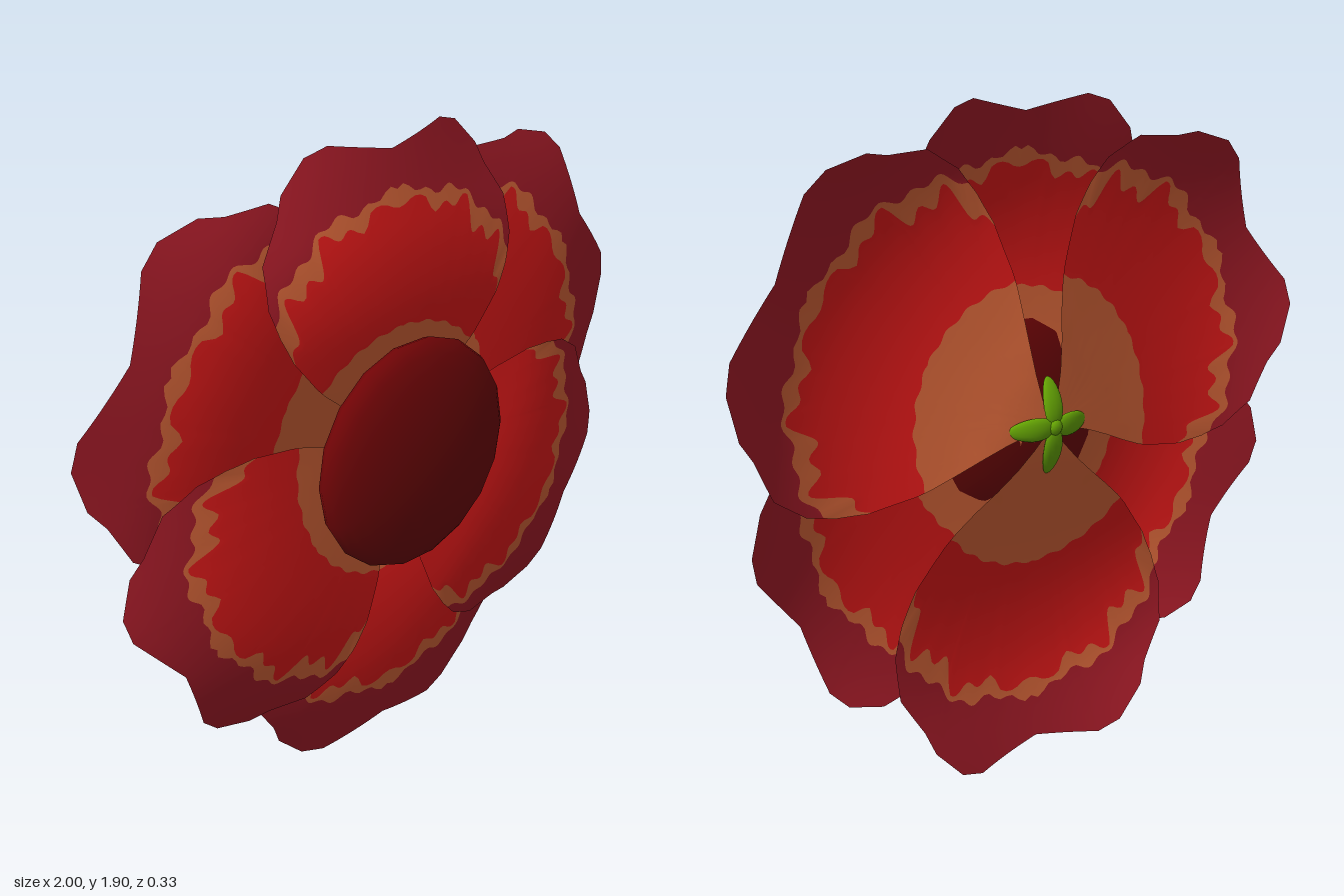
import * as THREE from 'three';

const mat = (name, color, side = THREE.FrontSide) => {
  const m = new THREE.MeshStandardMaterial({ color, side });
  m.name = name;
  return m;
};

// Right half of the petal rim, from the lower side up to the notch at the tip
const RIM = [[0.27, 0.24], [0.3, 0.27], [0.38, 0.37], [0.42, 0.45], [0.445, 0.53], [0.44, 0.64],
  [0.375, 0.74], [0.35, 0.8], [0.27, 0.88], [0.2, 0.9], [0, 0.86]];

// Depth along the petal: [distance from the centre, z]
const FRONT_PROFILE = [[0, -0.04], [0.2, 0], [0.3, 0.015], [0.45, 0.03], [0.6, 0.025], [0.75, 0], [0.9, -0.028]];
const BACK_PROFILE = [[0, -0.135], [0.12, -0.116], [0.22, -0.086], [0.4, -0.045], [0.55, -0.029],
  [0.7, -0.036], [0.9, -0.078]];

function profileCurve(points) {
  const spline = new THREE.SplineCurve(points.map(([r, z]) => new THREE.Vector2(r, z)));
  const samples = spline.getPoints(120);
  return (r) => {
    const i = Math.max(1, samples.findIndex((p) => p.x >= r));
    const a = samples[i - 1], b = samples[i];
    return a.y + (b.y - a.y) * THREE.MathUtils.clamp((r - a.x) / (b.x - a.x), 0, 1);
  };
}

// Fan of columns from the base to the rim, cut into colour bands as material groups
function petalGeometry(profile, scale) {
  const depth = profileCurve(profile);
  const full = [...RIM.map(([x, y]) => [-x, y]), ...RIM.slice(0, -1).reverse()];
  const rim = [];
  const SUB = 8;
  for (let i = 0; i < full.length - 1; i++) {
    for (let k = 0; k < SUB; k++) {
      const t = k / SUB;
      rim.push([0, 1].map((j) => full[i][j] * (1 - t) + full[i + 1][j] * t));
    }
  }
  rim.push(full[full.length - 1]);

  const bandRows = [5, 7, 1, 4];
  const rows = bandRows.reduce((a, b) => a + b) + 1;
  const pos = [], index = [];
  for (const [px, py] of rim) {
    const R = Math.hypot(px, py);
    const a = Math.abs(Math.atan2(px, py));
    const u = a / 0.73;
    // Ragged limits of the base patch, the main field and the thin strip
    const strip = 0.745 - 0.1 * u ** 3 + 0.011 * Math.sin(21 * a + 1) + 0.009 * Math.sin(53 * a);
    const thick = 0.032 + 0.035 * u * u + 0.018 * Math.sin(25 * a + 2) + 0.016 * Math.sin(47 * a);
    const field = strip - Math.max(0.013, thick);
    const base = 0.375 + 0.004 * Math.sin(31 * a);
    const cuts = [0.015, base, field, strip, R].map((v) => Math.min(v, R));
    const radii = [cuts[0]];
    bandRows.forEach((n, b) => {
      for (let k = 1; k <= n; k++) radii.push(cuts[b] + (cuts[b + 1] - cuts[b]) * k / n);
    });
    for (const rad of radii) {
      const narrow = 0.75 + 0.25 * THREE.MathUtils.smoothstep(rad, 0, 0.35);
      const x = px / R * rad * narrow, y = py / R * rad;
      // Sides curl back, more so towards the tip
      pos.push(x * scale, y * scale, depth(y) - 0.62 * (x * y) ** 2);
    }
  }

  const g = new THREE.BufferGeometry();
  let row = 0;
  bandRows.forEach((n, b) => {
    const start = index.length;
    for (let k = 0; k < n; k++, row++) {
      for (let c = 0; c < rim.length - 1; c++) {
        const p = c * rows + row, q = p + rows;
        index.push(p, q, q + 1, p, q + 1, p + 1);
      }
    }
    g.addGroup(start, index.length - start, b);
  });
  g.setAttribute('position', new THREE.Float32BufferAttribute(pos, 3));
  g.setIndex(index);
  g.computeVertexNormals();
  return g;
}

// Small leaf growing along +y and bending forward
function sepalGeometry() {
  const g = new THREE.SphereGeometry(1, 12, 14);
  const p = g.attributes.position;
  for (let i = 0; i < p.count; i++) {
    const t = (p.getY(i) + 1) / 2, y = t * 0.14;
    const taper = 1.1 - 0.25 * t;
    p.setXYZ(i, p.getX(i) * 0.034 * taper, y, p.getZ(i) * 0.012 * taper + 1.7 * y * y);
  }
  g.computeVertexNormals();
  return g;
}

export function createModel() {
  const red = mat('petalRed', 0xe41a1a, THREE.DoubleSide);
  const crimson = mat('petalCrimson', 0xa81c29, THREE.DoubleSide);
  const orange = mat('petalOrange', 0xda673a, THREE.DoubleSide);
  const maroon = mat('centreMaroon', 0x700406);
  const green = mat('sepalGreen', 0x6aac04);

  const flower = new THREE.Group();
  flower.name = 'flower';
  const add = (name, geometry, material, z = 0, turn = 0) => {
    const m = new THREE.Mesh(geometry, material);
    m.name = name;
    m.position.set(0, 1, z);
    m.rotation.z = turn;
    flower.add(m);
  };

  // Two rings of three petals; the two lower front ones are a little larger
  const bands = [orange, red, orange, crimson];
  const lowerFront = petalGeometry(FRONT_PROFILE, 1.025);
  const backPetal = petalGeometry(BACK_PROFILE, 1.112);
  const third = Math.PI * 2 / 3;
  add('topFrontPetal', petalGeometry(FRONT_PROFILE, 1), bands);
  for (const side of [-1, 1]) add('lowerFrontPetal', lowerFront, bands, 0, side * third);
  for (let i = 0; i < 3; i++) add('backPetal', backPetal, bands, 0, Math.PI + i * third);

  // Domed centre
  const dome = new THREE.SphereGeometry(0.343, 18, 14).rotateX(Math.PI / 2).scale(1, 1, 0.28);
  add('centre', dome, maroon, 0.065);

  // Cross of four sepals and the stem knob behind
  const sepal = sepalGeometry();
  for (let i = 0; i < 4; i++) add('sepal', sepal, green, -0.147, i * Math.PI / 2);
  add('stemKnob', new THREE.SphereGeometry(0.024, 12, 8).scale(1, 1, 0.7), green, -0.148);

  return flower;
}
